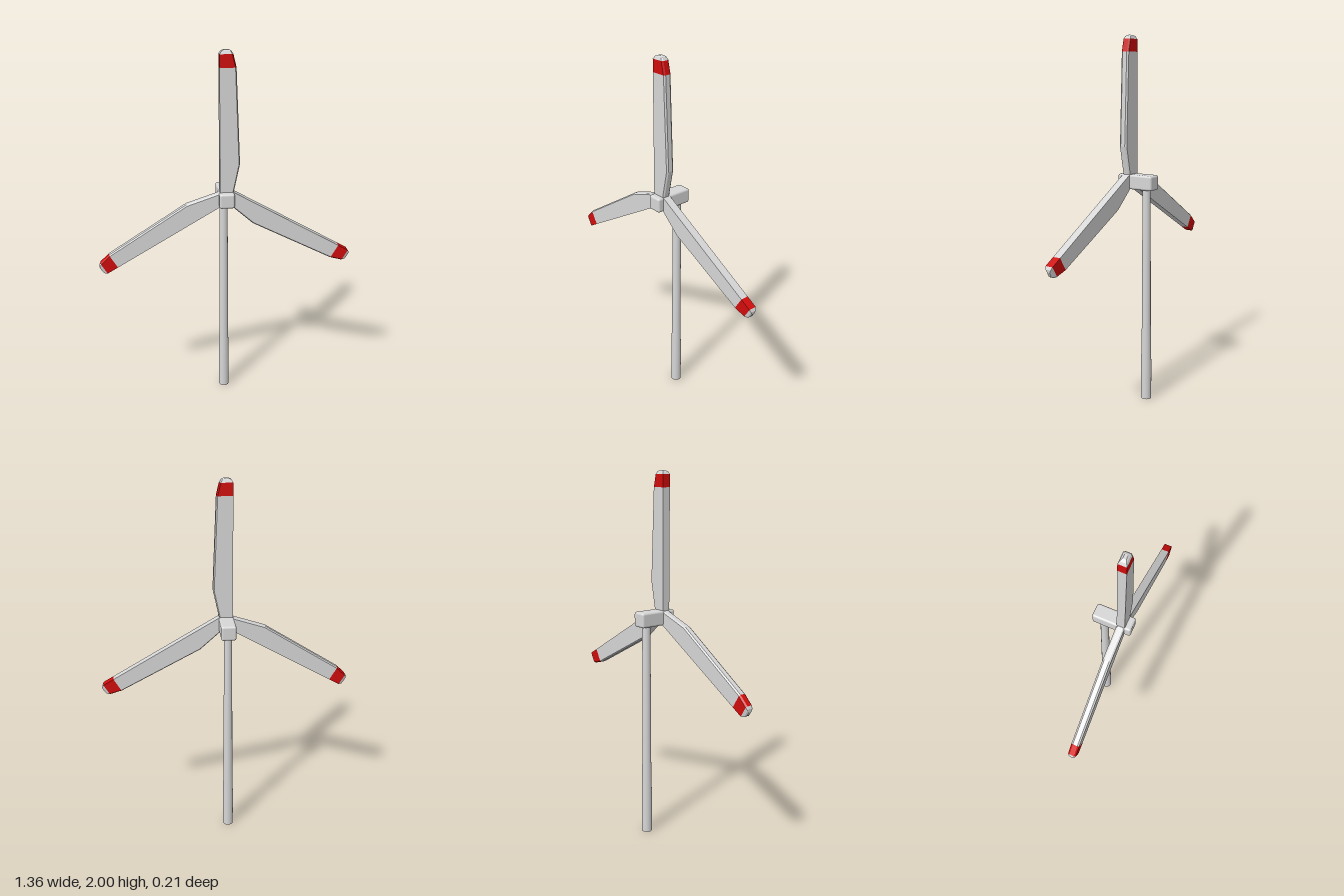
import * as THREE from 'three';
import { RoundedBoxGeometry } from 'three/addons/geometries/RoundedBoxGeometry.js';

const grey = new THREE.MeshStandardMaterial({ color: 0xd6d6d6 });
grey.name = 'light grey';
const red = new THREE.MeshStandardMaterial({ color: 0xd00c0c });
red.name = 'tip red';

// Blade outline by distance from the hub: [distance, left edge, right edge, half thickness, chamfer]
const root = [0, -0.035, 0.03, 0.022, 0.008];
const shoulder = [0.19, -0.035, 0.07, 0.022, 0.009];
const bandStart = [0.68, -0.035, 0.049, 0.022, 0.009];
const bandEnd = [0.745, -0.035, 0.033, 0.022, 0.009];
const dome = [0.759, -0.026, 0.024, 0.016, 0.007];
const tip = [0.765, -0.012, 0.012, 0.008, 0.004];

// Cross-section with a flat trailing edge and a chamfered leading edge
function ring([y, l, r, t, c]) {
  return [[l, t], [r - c * 0.7, t], [r, t - c], [r, c - t], [r - c * 0.7, -t], [l, -t]]
    .map(([x, z]) => [x, y, z]);
}

// Faceted skin through the cross-sections, closed at both ends
function loft(sections) {
  const rings = sections.map(ring);
  const n = rings[0].length;
  const pos = [];
  const tri = (a, b, c) => pos.push(...a, ...b, ...c);
  for (let i = 0; i < rings.length - 1; i++) {
    for (let j = 0; j < n; j++) {
      const k = (j + 1) % n;
      tri(rings[i][j], rings[i][k], rings[i + 1][k]);
      tri(rings[i][j], rings[i + 1][k], rings[i + 1][j]);
    }
  }
  const first = rings[0], last = rings[rings.length - 1];
  for (let j = 1; j < n - 1; j++) {
    tri(first[0], first[j + 1], first[j]);
    tri(last[0], last[j], last[j + 1]);
  }
  const g = new THREE.BufferGeometry();
  g.setAttribute('position', new THREE.Float32BufferAttribute(pos, 3));
  g.computeVertexNormals();
  return g;
}

function add(parent, name, geometry, material) {
  const mesh = new THREE.Mesh(geometry, material);
  mesh.name = name;
  parent.add(mesh);
  return mesh;
}

export function createModel() {
  const model = new THREE.Group();
  model.name = 'windTurbine';

  // Tower: slightly thicker foot, slim shaft
  const profile = [[0, 0], [0.029, 0], [0.029, 0.2], [0.025, 0.43], [0.022, 1.2], [0, 1.2]];
  const points = [];
  profile.forEach(([r, y], i) => {
    points.push(new THREE.Vector2(r, y));
    // doubled rim points keep the end caps crisp
    if (i === 1 || i === 4) points.push(new THREE.Vector2(r, y));
  });
  add(model, 'tower', new THREE.LatheGeometry(points, 20), grey).position.z = -0.054;

  // Nacelle
  add(model, 'nacelle', new RoundedBoxGeometry(0.08, 0.08, 0.214, 3, 0.012), grey)
    .position.set(0, 1.235, 0);

  // Three blades with a red band near each tip
  const body = loft([root, shoulder, bandStart]);
  const band = loft([bandStart, bandEnd]);
  const cap = loft([bandEnd, dome, tip]);
  const placements = [[0, 1.235, 0], [0.012, 1.248, -1], [-0.012, 1.248, 1]];
  for (const [x, y, turn] of placements) {
    const blade = new THREE.Group();
    blade.name = 'blade';
    add(blade, 'bladeBody', body, grey);
    add(blade, 'bladeBand', band, red);
    add(blade, 'bladeCap', cap, grey);
    blade.position.set(x, y, 0.052);
    blade.rotation.z = turn * Math.PI * 2 / 3;
    model.add(blade);
  }
  return model;
}
